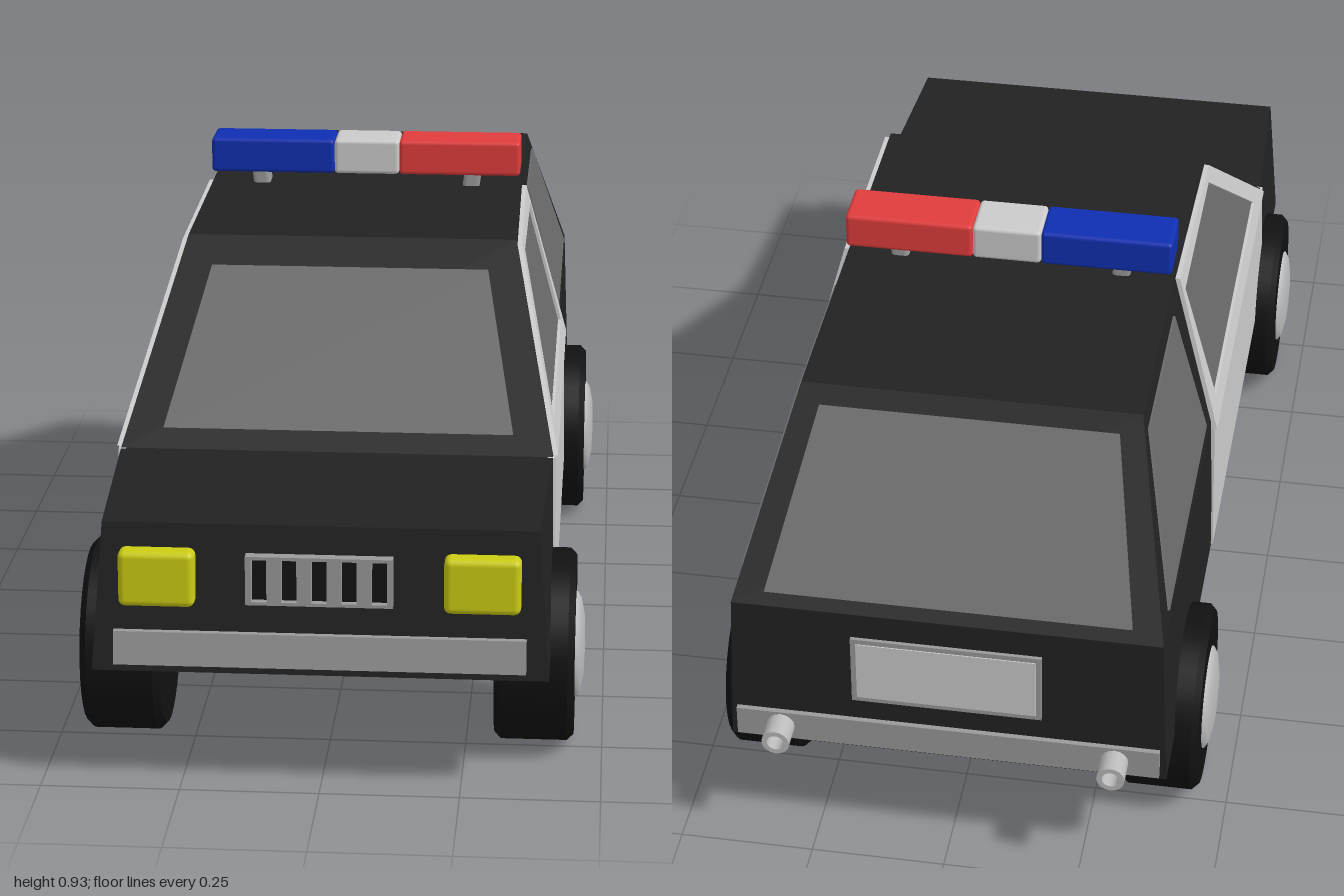
import * as THREE from 'three';
import { ConvexGeometry } from 'three/addons/geometries/ConvexGeometry.js';
import { RoundedBoxGeometry } from 'three/addons/geometries/RoundedBoxGeometry.js';

const mat = (color, flatShading = false) => new THREE.MeshStandardMaterial({ color, flatShading });
const black = mat(0x222222, true), tyreBlack = mat(0x111111), glass = mat(0x6a6a6a, true);
const white = mat(0xcccccc, true), chrome = mat(0x9a9a9a, true), hubGrey = mat(0xbbbbbb);
const yellow = mat(0xcccc14), blue = mat(0x102fb2), red = mat(0xe03c3c), barGrey = mat(0xcccccc);

const v2 = (pts) => pts.map(([x, y]) => new THREE.Vector2(x, y));

export function createModel() {
  const car = new THREE.Group();
  car.name = 'patrolCar';

  function add(parent, name, geometry, material, x = 0, y = 0, z = 0) {
    const mesh = new THREE.Mesh(geometry, material);
    mesh.name = name;
    mesh.position.set(x, y, z);
    parent.add(mesh);
    return mesh;
  }

  // Convex block from mirrored half-points
  const hull = (pts) => new ConvexGeometry(
    pts.flatMap(([x, y, z]) => [new THREE.Vector3(x, y, z), new THREE.Vector3(-x, y, z)]));

  // Thin plate: outline extruded, then laid on a sloping surface by a rule
  function plate(outline, thickness, place, hole) {
    const shape = new THREE.Shape(v2(outline));
    if (hole) shape.holes.push(new THREE.Path(v2(hole)));
    const g = new THREE.ExtrudeGeometry(shape, { depth: thickness + 0.01, bevelEnabled: false });
    const p = g.attributes.position;
    for (let i = 0; i < p.count; i++) {
      p.setXYZ(i, ...place(p.getX(i), p.getY(i), p.getZ(i) - 0.01));
    }
    g.computeVertexNormals();
    return g;
  }
  const cabinX = (y) => 0.4 - (y - 0.51) * 0.27;
  const lowerX = (y) => 0.405 - (y - 0.22) * 0.017;
  const onCabin = (z, y, d) => [-(cabinX(y) + d), y, z];
  const onLower = (z, y, d) => [-(lowerX(y) + d), y, z];
  const onWindscreen = (x, y, d) => [x, y, 0.6 - (y - 0.51) * 1.258 + d];
  const onTailgate = (x, y, d) => [-x, y, -0.94 + (y - 0.535) * 0.943 - d];
  const onNose = (x, y, d) => [x, y, 0.985 - (y - 0.22) * 0.093 + d];

  // Body: lower shell with bonnet, and cabin
  add(car, 'lowerBody', hull([
    [0.405, 0.22, 0.985], [0.385, 0.49, 0.96], [0.4, 0.51, 0.6],
    [cabinX(0.535), 0.535, -0.94], [0.405, 0.22, -0.94],
  ]), black);
  add(car, 'cabin', hull([
    [0.4, 0.51, 0.6], [cabinX(0.82), 0.82, 0.21], [cabinX(0.833), 0.833, -0.25],
    [cabinX(0.833), 0.833, -0.658], [cabinX(0.535), 0.535, -0.94],
  ]), black);

  // Front and rear glass
  add(car, 'windscreen', plate(
    [[-0.325, 0.54], [0.325, 0.54], [0.265, 0.775], [-0.265, 0.775]], 0.004, onWindscreen), glass);
  add(car, 'rearWindow', plate(
    [[-0.335, 0.555], [0.335, 0.555], [0.275, 0.805], [-0.275, 0.805]], 0.004, onTailgate), glass);

  // One side: door, windows, wheels, headlight, exhaust
  const side = new THREE.Group();
  side.name = 'rightSide';
  add(side, 'doorPanel', plate(
    [[0.648, 0.225], [0.605, 0.51], [-0.255, 0.51], [-0.255, 0.225]], 0.004, onLower), white);
  const doorGlass = [[0.485, 0.548], [0.175, 0.793], [-0.197, 0.793], [-0.197, 0.548]];
  add(side, 'doorFrame', plate(
    [[0.59, 0.51], [0.21, 0.811], [-0.215, 0.826], [-0.255, 0.51]], 0.009, onCabin, doorGlass), white);
  add(side, 'doorWindow', plate(doorGlass, 0.003, onCabin), glass);
  add(side, 'rearSideWindow', plate(
    [[-0.3, 0.55], [-0.3, 0.8], [-0.655, 0.8], [-0.855, 0.55]], 0.004, onCabin), glass);

  // Wheel profiles: radius, width
  const tyreGeo = new THREE.LatheGeometry(v2([
    [0, 0], [0.165, 0], [0.165, 0], [0.177, 0.012], [0.177, 0.012],
    [0.177, 0.133], [0.177, 0.133], [0.165, 0.145], [0.165, 0.145], [0, 0.145],
  ]), 32).rotateZ(Math.PI / 2);
  const hubGeo = new THREE.LatheGeometry(v2([
    [0.098, 0.14], [0.097, 0.148], [0.085, 0.155], [0.055, 0.161], [0, 0.163],
  ]), 32).rotateZ(Math.PI / 2);
  for (const [label, z] of [['front', 0.685], ['rear', -0.655]]) {
    add(side, label + 'Tyre', tyreGeo, tyreBlack, -0.303, 0.178, z);
    add(side, label + 'Hub', hubGeo, hubGrey, -0.303, 0.178, z);
  }

  add(side, 'headlight', new RoundedBoxGeometry(0.135, 0.102, 0.06, 3, 0.012), yellow, -0.287, 0.395, 0.968);

  // Hollow exhaust tip
  const pipe = new THREE.LatheGeometry(v2([
    [0.026, 0], [0.026, 0.1], [0.026, 0.1], [0.016, 0.1], [0.016, 0.1], [0.016, 0.03],
  ]), 16).rotateX(-Math.PI / 2);
  add(side, 'exhaust', pipe, hubGrey, -0.31, 0.26, -0.9);
  add(side, 'exhaustBore', new THREE.CircleGeometry(0.017, 16).rotateY(Math.PI), tyreBlack, -0.31, 0.26, -0.95);

  // Light bar post, leaning slightly outward
  const post = add(side, 'lightBarPost', new RoundedBoxGeometry(0.034, 0.06, 0.055, 2, 0.008), chrome, -0.214, 0.843, -0.204);
  post.rotation.z = 0.12;

  const mirrored = side.clone();
  mirrored.name = 'leftSide';
  mirrored.scale.x = -1;
  car.add(side, mirrored);

  // Grille with five slots
  const grilleShape = new THREE.Shape(v2([[-0.13, 0.35], [0.13, 0.35], [0.13, 0.44], [-0.13, 0.44]]));
  for (let i = -2; i <= 2; i++) {
    const l = i * 0.053 - 0.0135, r = l + 0.027;
    grilleShape.holes.push(new THREE.Path(v2([[l, 0.356], [l, 0.434], [r, 0.434], [r, 0.356]])));
  }
  const grille = add(car, 'grille',
    new THREE.ExtrudeGeometry(grilleShape, { depth: 0.02, bevelEnabled: false }), chrome, 0, 0, 0.968);
  grille.name = 'grille';
  add(car, 'grilleBack', plate(
    [[-0.125, 0.354], [0.125, 0.354], [0.125, 0.436], [-0.125, 0.436]], 0.002, onNose), tyreBlack);

  // Bumpers and blank rear plate
  add(car, 'frontBumper', plate(
    [[-0.365, 0.235], [0.365, 0.235], [0.365, 0.296], [-0.365, 0.296]], 0.012, onNose), chrome);
  add(car, 'rearBumper', new THREE.BoxGeometry(0.785, 0.06, 0.03), chrome, 0, 0.26, -0.935);
  add(car, 'rearPlateFrame', new THREE.BoxGeometry(0.35, 0.145, 0.02), chrome, 0, 0.41, -0.937);
  add(car, 'rearPlate', new THREE.BoxGeometry(0.33, 0.125, 0.02), white, 0, 0.41, -0.939);

  // Roof light bar: three coloured sections
  for (const [name, from, to, m] of [
    ['blueLight', -0.312, -0.063, blue], ['lightBarCentre', -0.063, 0.068, barGrey], ['redLight', 0.068, 0.312, red],
  ]) {
    add(car, name, new RoundedBoxGeometry(to - from, 0.07, 0.1, 2, 0.008), m, (from + to) / 2, 0.892, -0.204);
  }

  return car;
}
